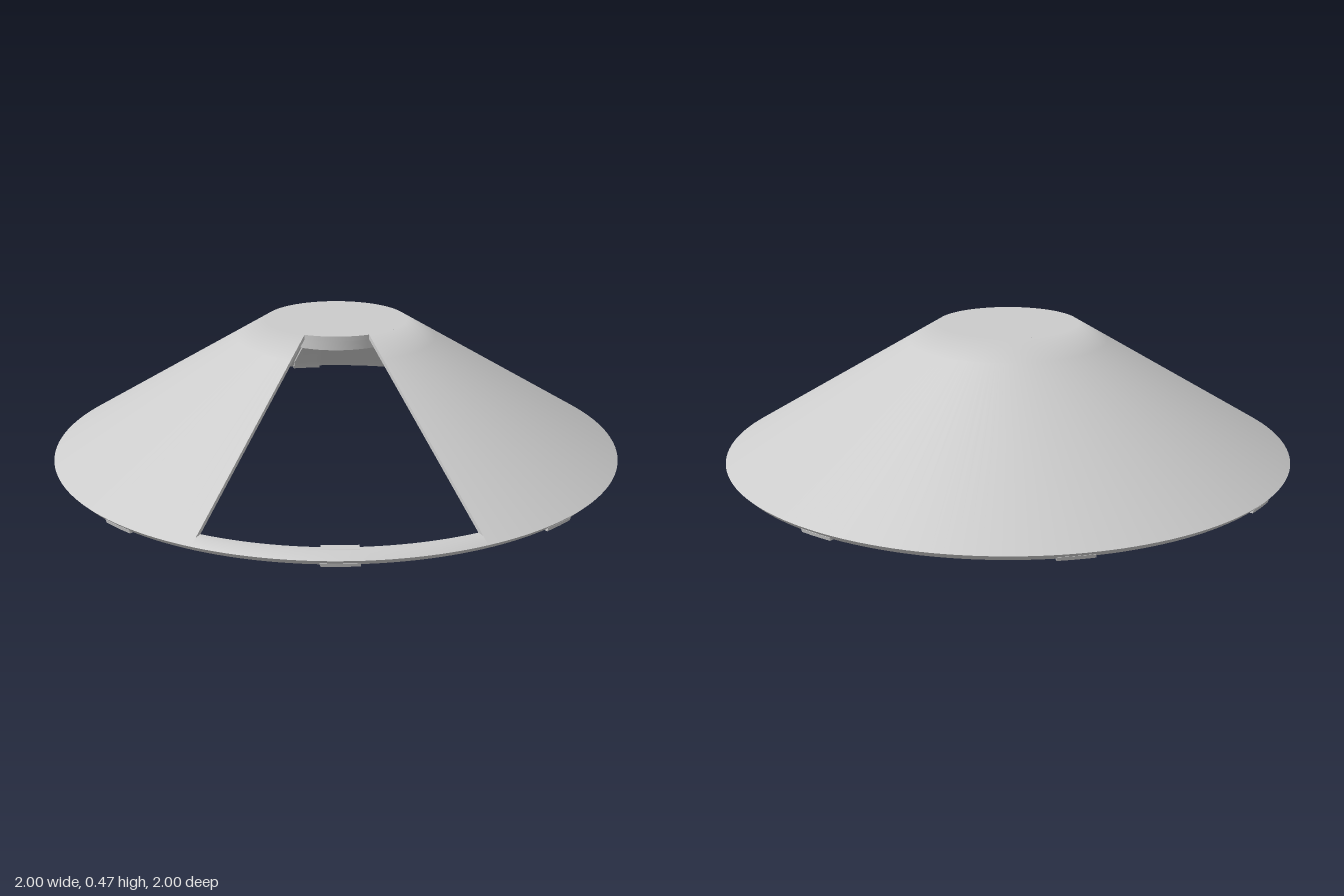
import * as THREE from 'three';
import { toCreasedNormals } from 'three/addons/utils/BufferGeometryUtils.js';

const material = new THREE.MeshStandardMaterial({ color: 0xcccccc, side: THREE.DoubleSide });
const rad = THREE.MathUtils.degToRad;

// Closed (radius, height) profile swept between two angles; 0 degrees is the front, 90 is +x.
function sweep(name, profile, from, to, segments) {
  const group = new THREE.Group();
  group.name = name;
  const points = profile.map(([r, y]) => new THREE.Vector2(r, y));
  const lathe = new THREE.LatheGeometry([...points, points[0]], segments, rad(from), rad(to - from));
  const surface = new THREE.Mesh(toCreasedNormals(lathe, 0.6), material);
  surface.name = name + 'Surface';
  group.add(surface);
  if (to - from < 360) {
    for (const angle of [from, to]) {
      const cap = new THREE.Mesh(new THREE.ShapeGeometry(new THREE.Shape(points)), material);
      cap.name = name + 'EndFace';
      cap.rotation.y = rad(angle - 90);
      group.add(cap);
    }
  }
  return group;
}

export function createModel() {
  const model = new THREE.Group();
  model.name = 'conicalCover';
  const cut = 25.6; // half angle of the front opening

  // Conical shell, open at the front
  const shell = sweep('shell', [
    [0.98, 0.005], [1, 0.025], [0.35, 0.415], [0.25, 0.475],
    [0.25, 0.459], [0.945, 0.042],
  ], cut, 360 - cut, 144);
  // Blend the slope softly into the flat top
  const { position, normal } = shell.children[0].geometry.attributes;
  for (let i = 0; i < position.count; i++) {
    if (position.getY(i) > 0.474 && normal.getY(i) > 0.3) normal.setXYZ(i, 0, 1, 0);
  }
  model.add(shell);

  // Low rim closing the opening at the bottom
  model.add(sweep('frontRim', [
    [0.98, 0.005], [1, 0.025], [0.972, 0.042], [0.945, 0.042],
  ], -cut, cut, 24));

  // Flat top plate
  const plate = new THREE.Mesh(
    toCreasedNormals(new THREE.CylinderGeometry(0.25, 0.25, 0.016, 128), 0.6), material);
  plate.name = 'topPlate';
  plate.position.y = 0.467;
  model.add(plate);

  // Stepped ring under the plate
  model.add(sweep('hubRing', [
    [0.19, 0.422], [0.23, 0.422], [0.23, 0.46], [0.165, 0.46], [0.165, 0.44], [0.19, 0.44],
  ], 0, 360, 96));

  // Tapered ribs along the inner face, each ending in a small foot
  const ribProfile = [
    [0.945, 0.034], [0.965, 0], [0.985, 0], [0.988, 0.012],
    [0.95, 0.046], [0.25, 0.464], [0.235, 0.45],
  ];
  for (const angle of [43.3, 93.3, 140, 187, 230, 273.3, 316.7]) {
    model.add(sweep('rib', ribProfile, angle - 3.4, angle + 3.4, 6));
  }

  // Foot on the front rim, where the opening interrupts the rib
  model.add(sweep('frontFoot', [
    [0.935, 0.034], [0.965, 0], [0.985, 0], [0.988, 0.012], [0.962, 0.044], [0.935, 0.044],
  ], -3.4, 3.4, 6));

  return model;
}
